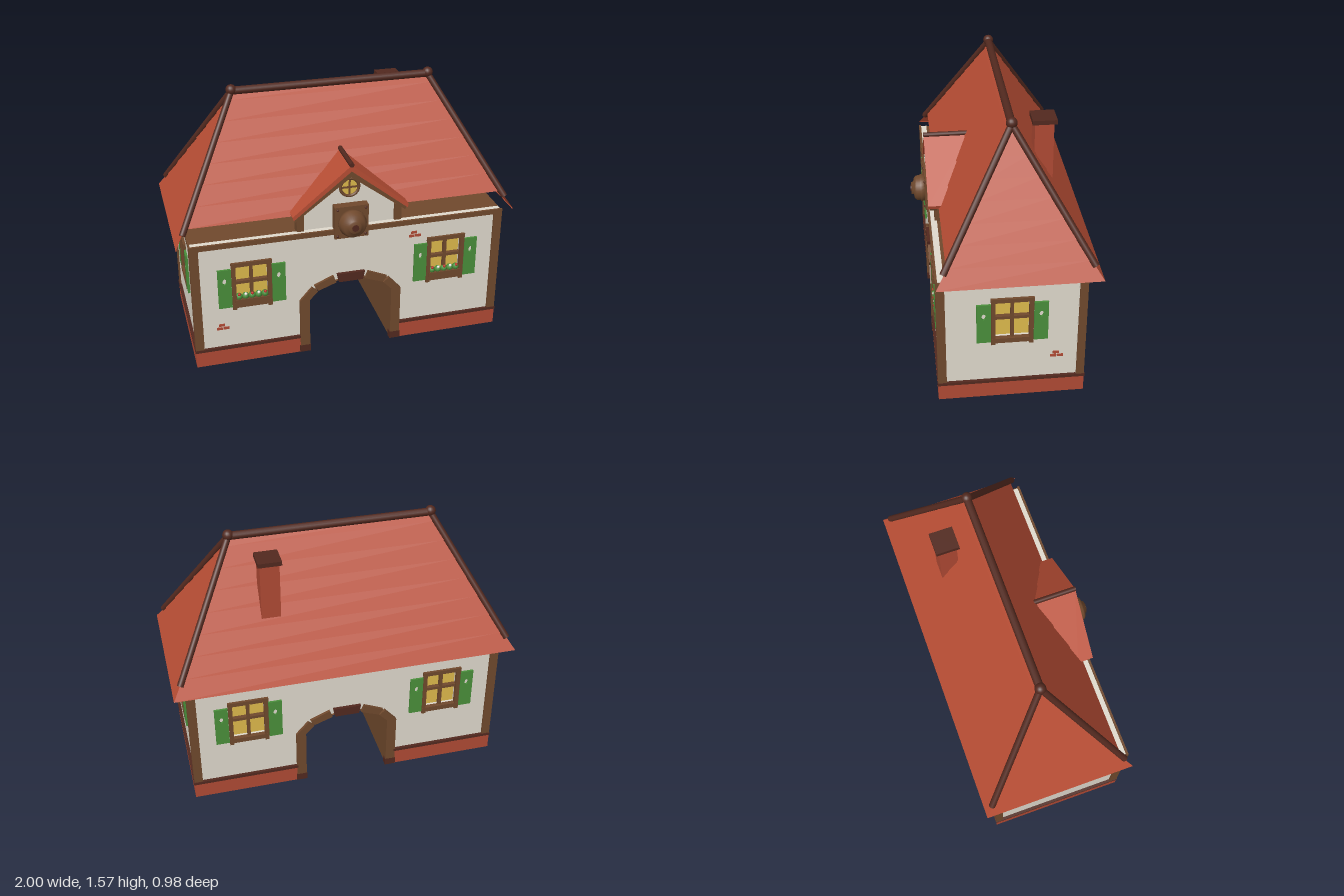
import * as THREE from 'three';

const paint = (color, side = THREE.FrontSide) => new THREE.MeshStandardMaterial({ color, side });
const M = {
  wall: paint(0xe0dacd), tile: paint(0xb94e35, THREE.DoubleSide), brick: paint(0xb04a34),
  wood: paint(0x70492d), lining: paint(0x70492d, THREE.DoubleSide), dark: paint(0x52291f),
  glass: paint(0xdeba4c), green: paint(0x4a8f3b), white: paint(0xf0ece4), red: paint(0xc03028),
};

function add(parent, name, geometry, material, x = 0, y = 0, z = 0) {
  const mesh = new THREE.Mesh(geometry, material);
  mesh.name = name;
  mesh.position.set(x, y, z);
  parent.add(mesh);
  return mesh;
}
// Box given by its limits
function box(parent, name, mat, x0, x1, y0, y1, z0, z1) {
  return add(parent, name, new THREE.BoxGeometry(x1 - x0, y1 - y0, z1 - z0), mat,
    (x0 + x1) / 2, (y0 + y1) / 2, (z0 + z1) / 2);
}
const poly = (pts) => new THREE.Shape(pts.map(([x, y]) => new THREE.Vector2(x, y)));
const rect = (x0, x1, y0, y1) => poly([[x0, y0], [x1, y0], [x1, y1], [x0, y1]]);
const slab = (shape, depth) => new THREE.ExtrudeGeometry(shape, { depth, bevelEnabled: false, curveSegments: 10 });
// Round bar between two points
function bar(parent, name, mat, a, b, r) {
  const p = new THREE.Vector3(...a), q = new THREE.Vector3(...b), d = q.clone().sub(p);
  const mesh = add(parent, name, new THREE.CylinderGeometry(r, r, d.length(), 12), mat);
  mesh.position.copy(p).add(q).multiplyScalar(0.5);
  mesh.quaternion.setFromUnitVectors(new THREE.Vector3(0, 1, 0), d.normalize());
}
function quads(list) {
  const pos = [];
  for (const [a, b, c, d] of list) pos.push(...a, ...b, ...c, ...a, ...c, ...d);
  const g = new THREE.BufferGeometry();
  g.setAttribute('position', new THREE.Float32BufferAttribute(pos, 3));
  g.computeVertexNormals();
  return g;
}

// Outline of the passage, grown by e
const archLine = (e) => {
  const half = [[0.25 + e, 0], [0.25 + e, 0.355 + e / 2], [0.2 + e, 0.41 + e], [0.08, 0.452 + e]];
  return [...half, ...half.slice().reverse().map(([x, y]) => [-x, y])];
};

// Window centred on x = 0; z = 0 is the wall face
function makeWindow(flowers) {
  const g = new THREE.Group();
  g.name = 'window';
  box(g, 'windowPane', M.glass, -0.1, 0.1, 0.39, 0.655, -0.034, -0.028);
  for (const s of [-1, 1]) {
    box(g, 'frameSide', M.wood, s * 0.104 - 0.012, s * 0.104 + 0.012, 0.36, 0.65, -0.012, 0.013);
    const leaf = rect(-0.039, 0.039, 0.38, 0.63);
    leaf.holes.push(new THREE.Path().absellipse(0, 0.553, 0.011, 0.019, 0, Math.PI * 2));
    add(g, 'shutter', slab(leaf, 0.012), M.green, s * 0.157, 0, 0.001);
  }
  box(g, 'frameTop', M.wood, -0.118, 0.118, 0.64, 0.665, -0.012, 0.015);
  box(g, 'frameSill', M.wood, -0.116, 0.116, 0.372, 0.402, -0.012, 0.014);
  box(g, 'mullion', M.wood, -0.009, 0.009, 0.4, 0.645, -0.025, 0);
  box(g, 'glazingBar', M.wood, -0.095, 0.095, 0.522, 0.54, -0.025, 0);
  if (flowers) {
    box(g, 'flowerBox', M.wood, -0.1, 0.1, 0.375, 0.425, -0.025, 0.017);
    for (let i = 0; i < 5; i++) {
      const x = -0.076 + i * 0.038;
      add(g, 'leaves', new THREE.SphereGeometry(0.021, 10, 8), M.green, x, 0.437, -0.005);
      add(g, 'blossom', new THREE.SphereGeometry(0.009, 8, 6), i % 2 ? M.white : M.red, x, 0.455, 0.007);
    }
  }
  return g;
}

// Three exposed bricks
function bricks(parent, x, y) {
  for (const [dx, dy] of [[-0.005, 0.011], [-0.019, -0.011], [0.02, -0.011]])
    box(parent, 'exposedBrick', M.brick, x + dx - 0.017, x + dx + 0.017, y + dy - 0.008, y + dy + 0.008, -0.01, 0.004);
}

// Wall panel with window openings, optionally cut by the passage
function makeWall(name, x0, x1, top, windows, arch, flowers) {
  const g = new THREE.Group();
  g.name = name;
  const notch = arch ? archLine(0.012).reverse().map(([x, y]) => [x, Math.max(y, 0.09)]) : [];
  const shape = poly([[x0, 0.09], ...notch, [x1, 0.09], [x1, top], [x0, top]]);
  for (const cx of windows) {
    shape.holes.push(new THREE.Path(rect(cx - 0.094, cx + 0.094, 0.4, 0.645).getPoints().reverse()));
    const w = makeWindow(flowers);
    w.position.x = cx;
    g.add(w);
  }
  add(g, 'wallPanel', slab(shape, 0.035), M.wall, 0, 0, -0.035);
  return g;
}

// Arch surround: jambs, voussoirs and keystone on one face
function makeArch() {
  const g = new THREE.Group();
  g.name = 'archSurround';
  for (const s of [-1, 1]) {
    const blocks = [
      ['archFoot', M.dark, [[0.247, 0], [0.312, 0], [0.312, 0.046], [0.247, 0.046]]],
      ['archJamb', M.wood, [[0.25, 0.046], [0.308, 0.046], [0.308, 0.355], [0.25, 0.355]]],
      ['archStone', M.wood, [[0.25, 0.355], [0.308, 0.355], [0.235, 0.438], [0.2, 0.408]]],
      ['archStone', M.wood, [[0.196, 0.412], [0.222, 0.447], [0.105, 0.498], [0.088, 0.452]]],
    ];
    for (const [name, mat, pts] of blocks) {
      const p = pts.map(([x, y]) => [s * x, y]);
      add(g, name, slab(poly(s < 0 ? p.reverse() : p), 0.035), mat);
    }
  }
  add(g, 'keystone', slab(poly([[-0.072, 0.452], [0.072, 0.452], [0.084, 0.506], [-0.084, 0.506]]), 0.037), M.dark);
  return g;
}

// Hipped roof of overlapping courses
const EAVE = 0.79, RISE = 0.73;
const roofFrontZ = (y) => 0.4 - 0.44 * (y - EAVE) / RISE;
function makeRoof() {
  const ring = (y, lip) => {
    const t = (y - EAVE) / RISE, x = 0.994 - 0.414 * t + lip;
    const f = roofFrontZ(y) - 0.006 + lip, b = -0.484 + 0.444 * t - lip;
    return [[x, y, f], [x, y, b], [-x, y, b], [-x, y, f]];
  };
  const list = [], step = 0.0985;
  for (let i = 0; i < 8; i++) {
    const y = EAVE + i * step;
    const low = ring(y, 0.006), inner = ring(y, 0), high = ring(Math.min(y + step, EAVE + RISE), 0);
    for (let k = 0; k < 4; k++) {
      const n = (k + 1) % 4;
      if (i === 0 && k === 3) continue; // the front stops one course higher
      list.push([low[k], low[n], high[n], high[k]], [inner[k], inner[n], low[n], low[k]]);
    }
  }
  return quads(list);
}

function makeDormer() {
  const g = new THREE.Group();
  g.name = 'dormer';
  add(g, 'dormerWall', slab(poly([[-0.29, 0.79], [0.29, 0.79], [0.29, 0.91], [0, 1.15], [-0.29, 0.91]]), 0.03), M.wall, 0, 0, 0.318);
  for (const s of [-1, 1]) {
    box(g, 'dormerPost', M.wood, s * 0.29 - 0.021, s * 0.29 + 0.021, 0.79, 0.9, 0.31, 0.365);
    const board = [[0, 1.115], [s * 0.325, 0.872], [s * 0.335, 0.9], [0, 1.165]];
    add(g, 'bargeBoard', slab(poly(s > 0 ? board : board.reverse()), 0.04), M.wood, 0, 0, 0.35);
    const tiles = [[0, 1.155], [s * 0.335, 0.888], [s * 0.342, 0.91], [0, 1.192]];
    const geo = slab(poly(s > 0 ? tiles : tiles.reverse()), 1);
    const p = geo.attributes.position;
    // Back edge follows the main roof slope
    for (let i = 0; i < p.count; i++) p.setZ(i, p.getZ(i) > 0.5 ? 0.4 : roofFrontZ(p.getY(i)) - 0.02);
    geo.computeVertexNormals();
    add(g, 'dormerRoof', geo, M.tile);
  }
  bar(g, 'dormerRidge', M.dark, [0, 1.193, 0.402], [0, 1.193, 0.13], 0.014);
  // Round window
  add(g, 'roundPane', new THREE.CylinderGeometry(0.053, 0.053, 0.01, 24), M.glass, 0, 1.04, 0.35).rotation.x = Math.PI / 2;
  add(g, 'roundFrame', new THREE.TorusGeometry(0.054, 0.009, 8, 28), M.wood, 0, 1.04, 0.358);
  box(g, 'roundBar', M.wood, -0.005, 0.005, 0.99, 1.09, 0.35, 0.361);
  box(g, 'roundBar', M.wood, -0.05, 0.05, 1.035, 1.045, 0.35, 0.361);
  return g;
}

// Round boss on a square plate above the arch
function makeBoss() {
  const g = new THREE.Group();
  g.name = 'frontBoss';
  g.position.set(0, 0.842, 0.385);
  box(g, 'bossPlate', M.wood, -0.1, 0.1, -0.1, 0.1, -0.03, 0.022);
  for (const x of [-0.083, 0.083]) for (const y of [-0.083, 0.083])
    add(g, 'rivet', new THREE.SphereGeometry(0.008, 8, 6), M.dark, x, y, 0.022);
  const profile = [[0.066, 0.015], [0.08, 0.022], [0.082, 0.045], [0.074, 0.05], [0.074, 0.07], [0.062, 0.082],
    [0.038, 0.088], [0.036, 0.1], [0, 0.101]].map(([r, z]) => new THREE.Vector2(r, z));
  add(g, 'bossBody', new THREE.LatheGeometry(profile, 28), M.wood).rotation.x = Math.PI / 2;
  add(g, 'bossCentre', new THREE.CylinderGeometry(0.02, 0.02, 0.01, 16), M.dark, 0, 0, 0.1).rotation.x = Math.PI / 2;
  return g;
}

export function createModel() {
  const house = new THREE.Group();
  house.name = 'gatehouse';

  // Plinth on either side of the passage
  for (const s of [-1, 1]) {
    const span = (a, b) => (s > 0 ? [a, b] : [-b, -a]);
    box(house, 'plinth', M.brick, ...span(0.256, 0.93), 0, 0.1, -0.42, 0.4);
    box(house, 'plinthTrim', M.dark, ...span(0.3, 0.934), 0.098, 0.115, -0.424, 0.403);
    box(house, 'cornerPost', M.wood, ...span(0.88, 0.93), 0.11, 0.785, 0.352, 0.4);
    box(house, 'cornerPost', M.wood, ...span(0.88, 0.93), 0.11, 0.785, -0.42, -0.375);
    box(house, 'sideBeam', M.wood, ...span(0.9, 0.928), 0.762, 0.79, -0.42, 0.4);
  }
  box(house, 'frontBeam', M.wood, -0.93, 0.93, 0.77, 0.8, 0.388, 0.401);
  box(house, 'backBeam', M.wood, -0.93, 0.93, 0.755, 0.79, -0.421, -0.4);
  box(house, 'ceiling', M.wood, -0.92, 0.92, 0.772, 0.79, -0.41, 0.37);

  // Walls
  const front = makeWall('frontWall', -0.92, 0.92, 0.797, [-0.585, 0.585], true, true);
  front.position.z = 0.387;
  bricks(front, 0.39, 0.7);
  bricks(front, -0.765, 0.25);
  const back = makeWall('backWall', -0.92, 0.92, 0.785, [-0.585, 0.585], true, false);
  back.position.z = -0.407;
  back.rotation.y = Math.PI;
  const left = makeWall('leftWall', -0.38, 0.4, 0.785, [0.012], false, false);
  left.position.x = 0.917;
  left.rotation.y = Math.PI / 2;
  bricks(left, 0.262, 0.262);
  const right = makeWall('rightWall', -0.4, 0.38, 0.785, [-0.012], false, false);
  right.position.x = -0.917;
  right.rotation.y = -Math.PI / 2;
  house.add(front, back, left, right);

  // Passage
  const line = archLine(0.003);
  add(house, 'passageLining', quads(line.slice(1).map(([x, y], i) => {
    const [u, v] = line[i];
    return [[u, v, 0.39], [u, v, -0.41], [x, y, -0.41], [x, y, 0.39]];
  })), M.lining);
  const archFront = makeArch(), archBack = makeArch();
  archFront.position.z = 0.369;
  archBack.position.z = -0.389;
  archBack.rotation.y = Math.PI;
  house.add(archFront, archBack);

  // Roof, ridge and hips
  add(house, 'roof', makeRoof(), M.tile);
  bar(house, 'ridge', M.dark, [-0.585, 1.528, -0.04], [0.585, 1.528, -0.04], 0.023);
  for (const s of [-1, 1]) {
    add(house, 'ridgeBall', new THREE.SphereGeometry(0.031, 16, 12), M.dark, s * 0.585, 1.534, -0.04);
    for (const z of [0.358, -0.446])
      bar(house, 'hipRidge', M.dark, [s * 0.585, 1.525, -0.04], [s * 0.955, 0.86, z], 0.019);
  }
  house.add(makeDormer(), makeBoss());

  // Chimney
  box(house, 'chimney', M.brick, 0.35, 0.46, 1.05, 1.46, -0.287, -0.182);
  box(house, 'chimneyCap', M.dark, 0.338, 0.472, 1.455, 1.48, -0.303, -0.168);
  return house;
}
